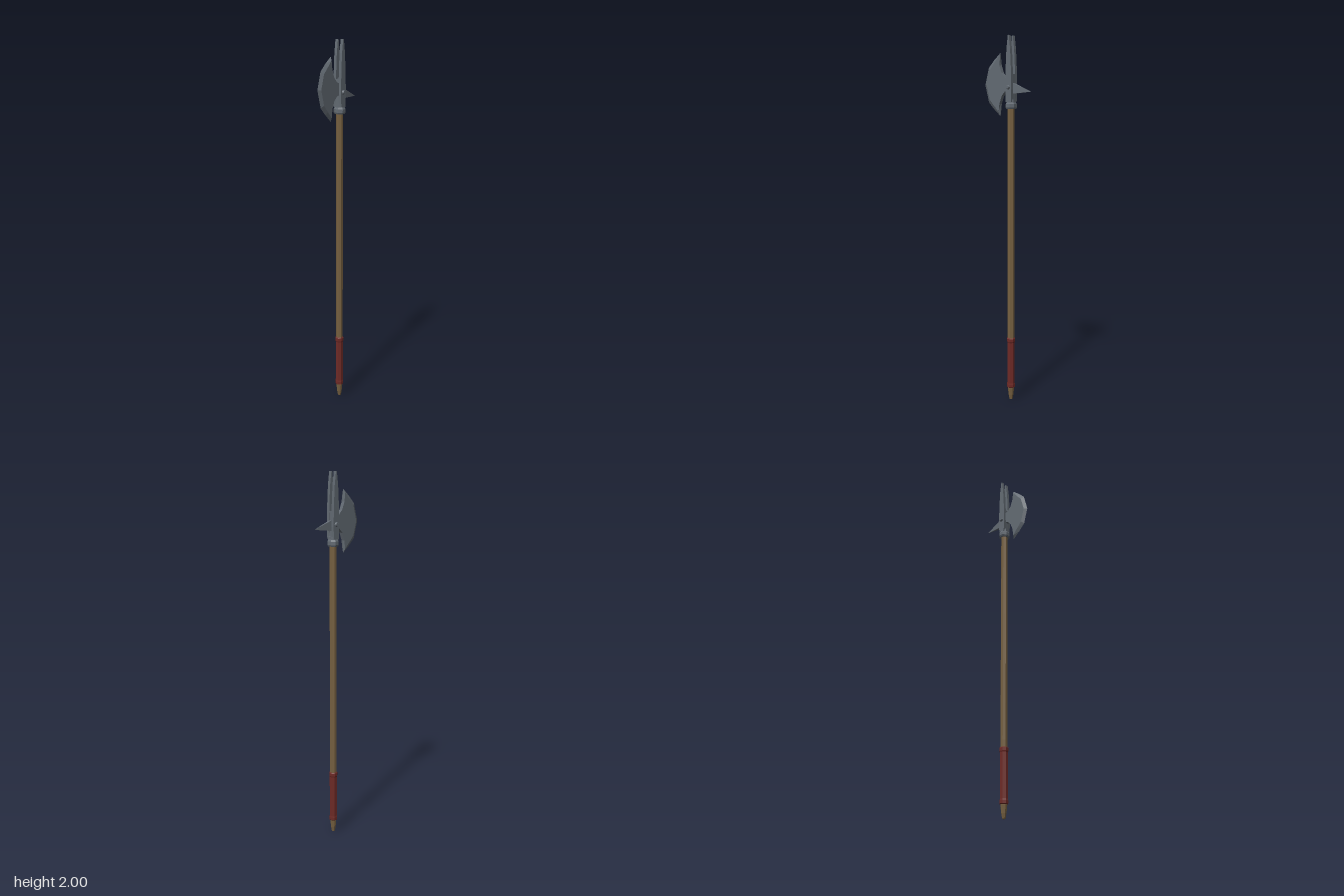
import * as THREE from 'three';

const AXIS_Z = -0.024; // the pole sits slightly behind the centre

function material(name, color) {
  const m = new THREE.MeshStandardMaterial({ color });
  m.name = name;
  return m;
}

// Extrudes a [z, y] outline across x, centred on x = 0
function plate(points, thickness, steps = 1) {
  const shape = new THREE.Shape(points.map(([z, y]) => new THREE.Vector2(z, y)));
  const g = new THREE.ExtrudeGeometry(shape, { depth: thickness, steps, bevelEnabled: false });
  g.translate(0, 0, -thickness / 2);
  g.rotateY(-Math.PI / 2);
  return g;
}

// Eight-sided turned part around the pole axis, from [radius, y] points
function turned(points, sides = 8) {
  const g = new THREE.LatheGeometry(points.map(([r, y]) => new THREE.Vector2(r, y)), sides, Math.PI / 8);
  const flat = g.toNonIndexed();
  flat.computeVertexNormals();
  return flat.translate(0, 0, AXIS_Z);
}

// Axe blade: full thickness plate whose cutting edge narrows to a ridge
function bladeGeometry() {
  const mid = 1.747;
  const upperEdge = [[0.048, 0.166], [0.09, 0.13], [0.127, 0.092], [0.152, 0]];
  const upperInset = [[0.053, 0.146], [0.083, 0.112], [0.113, 0.078], [0.134, 0]];
  const upperBack = [[-0.01, 0.03], [0.01, 0.036], [0.032, 0.06], [0.047, 0.1]];
  const mirrored = (list) => [
    ...list.map(([z, y]) => [z, mid + y]),
    ...list.slice().reverse().filter(([, y]) => y > 0).map(([z, y]) => [z, mid - y]),
  ];
  const edge = mirrored(upperEdge);
  const inset = mirrored(upperInset);
  const back = mirrored(upperBack);
  const outline = [...back.slice(0, 4), ...edge, ...back.slice(4)];
  const g = plate(outline, 0.022, 2);
  const p = g.attributes.position;
  for (let i = 0; i < p.count; i++) {
    if (Math.abs(p.getX(i)) < 0.005) continue;
    const k = edge.findIndex(([z, y]) => Math.hypot(z - p.getZ(i), y - p.getY(i)) < 1e-4);
    if (k >= 0) p.setXYZ(i, p.getX(i), inset[k][1], inset[k][0]);
  }
  g.computeVertexNormals();
  return g;
}

// Rear spike: four-sided, drooping slightly to its point
function spikeGeometry() {
  const g = new THREE.CylinderGeometry(0.0008, 0.0212, 0.12, 4, 1).toNonIndexed();
  g.rotateY(Math.PI / 4);
  g.scale(0.011 / 0.015, 1, 2);
  g.rotateX(-Math.PI / 2);
  const p = g.attributes.position;
  for (let i = 0; i < p.count; i++) {
    const t = (0.06 - p.getZ(i)) / 0.12;
    p.setY(i, p.getY(i) + 1.728 - 0.02 * t);
    p.setZ(i, p.getZ(i) - 0.09);
  }
  g.computeVertexNormals();
  return g;
}

export function createModel() {
  const model = new THREE.Group();
  model.name = 'poleaxe';
  const wood = material('brown wood', 0x766040);
  const leather = material('red leather', 0x6e2a26);
  const steel = material('grey steel', 0x626a72);
  const add = (name, geometry, mat, parent = model) => {
    const mesh = new THREE.Mesh(geometry, mat);
    mesh.name = name;
    parent.add(mesh);
    return mesh;
  };

  // Pole with a rounded foot
  add('pole', turned([[0, 0], [0.009, 0.004], [0.014, 0.03], [0.018, 0.07],
    [0.0195, 0.4], [0.0195, 1.64], [0, 1.64]]), wood);

  // Leather grip with a thicker band at each end
  add('grip', turned([[0.017, 0.072], [0.023, 0.077], [0.023, 0.092], [0.0215, 0.1],
    [0.0215, 0.335], [0.024, 0.342], [0.024, 0.358], [0.018, 0.364]]), leather);

  // Socket collar, a little wider from side to side
  const head = new THREE.Group();
  head.name = 'head';
  model.add(head);
  const collar = add('collar', turned([[0, 1.618], [0.026, 1.618], [0.03, 1.626], [0.03, 1.644],
    [0.025, 1.654], [0.025, 1.668], [0, 1.672]]), steel, head);
  collar.scale.x = 1.12;

  // Core block that holds blade and spike
  const core = new THREE.BoxGeometry(0.024, 0.145, 0.036);
  core.translate(0, 1.7275, AXIS_Z);
  add('core', core, steel, head);

  add('blade', bladeGeometry(), steel, head);
  add('rearSpike', spikeGeometry(), steel, head);

  // Twin prongs, each with a rivet on its outer face
  const half = [[0.017, 1.655], [0.02, 1.72], [0.0175, 1.83], [0.012, 1.93], [0.003, 2]];
  const prongOutline = [
    ...half.map(([w, y]) => [AXIS_Z + w, y]),
    ...half.slice().reverse().map(([w, y]) => [AXIS_Z - w, y]),
  ];
  for (const side of [1, -1]) {
    const name = side > 0 ? 'left' : 'right';
    add(name + 'Prong', plate(prongOutline, 0.017).translate(side * 0.0175, 0, 0), steel, head);
    const rivet = new THREE.CylinderGeometry(0.008, 0.013, 0.009, 8).toNonIndexed();
    rivet.computeVertexNormals();
    rivet.rotateZ(-side * Math.PI / 2);
    rivet.translate(side * 0.0302, 1.732, AXIS_Z);
    add(name + 'Rivet', rivet, steel, head);
  }
  return model;
}
